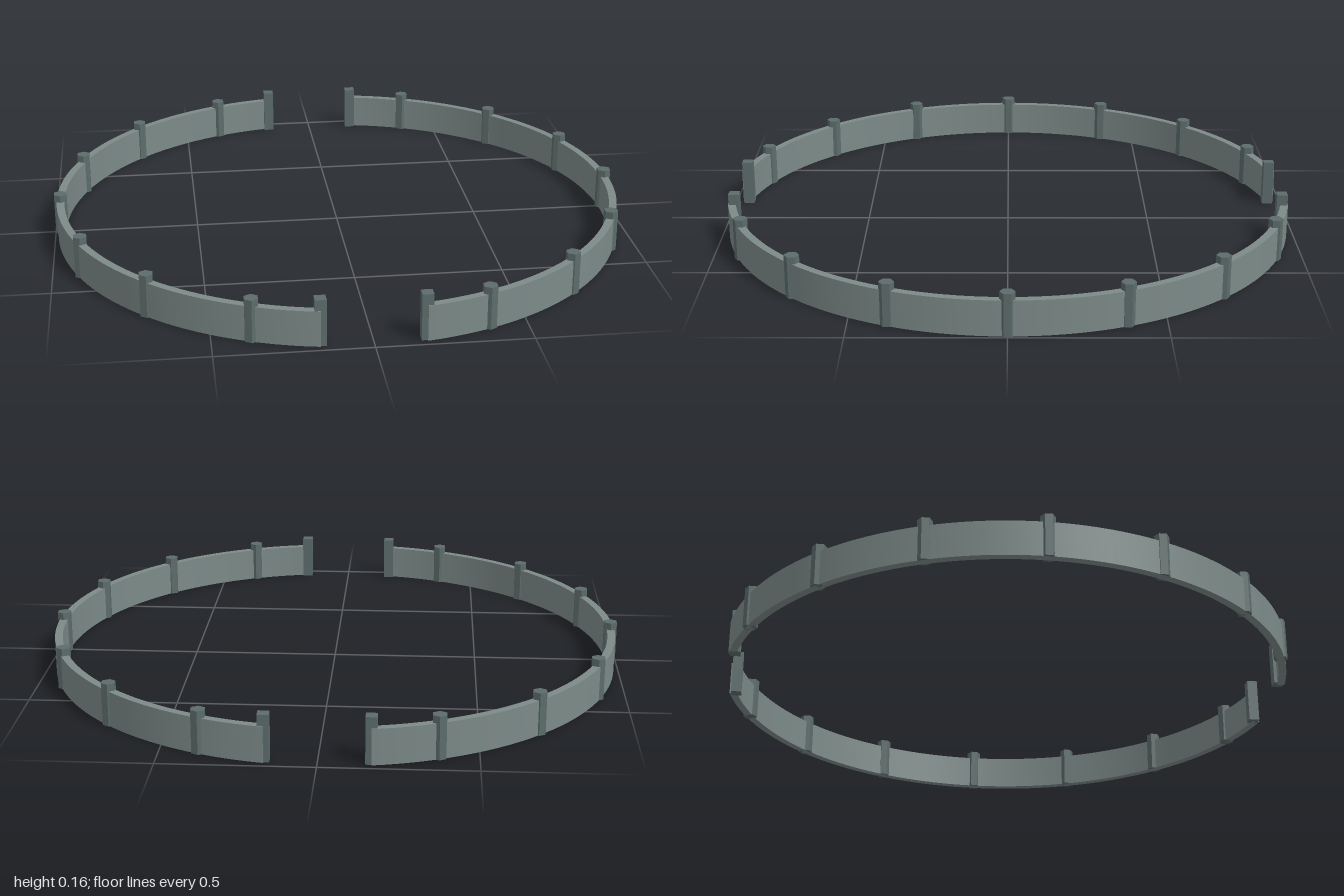
import * as THREE from 'three';
import { toCreasedNormals } from 'three/addons/utils/BufferGeometryUtils.js';

export function createModel() {
  const model = new THREE.Group();
  model.name = 'ringWall';
  const wallMat = new THREE.MeshStandardMaterial({ color: 0x7c8a88 });
  const postMat = new THREE.MeshStandardMaterial({ color: 0x5c6c6b });

  const radius = 0.977, halfThick = 0.0135, wallHeight = 0.12;
  const sweep = THREE.MathUtils.degToRad(80.3);

  // curved wall, one half of the ring
  const arc = new THREE.Shape();
  arc.absarc(0, 0, radius + halfThick, -sweep, sweep, false);
  arc.absarc(0, 0, radius - halfThick, sweep, -sweep, true);
  arc.closePath();
  const wallGeo = toCreasedNormals(
    new THREE.ExtrudeGeometry(arc, { depth: wallHeight, bevelEnabled: false, curveSegments: 48 })
      .rotateX(-Math.PI / 2), 0.5);

  // hexagonal posts and taller square gate posts
  const postHeight = 0.145, gateHeight = 0.157;
  const postGeo = toCreasedNormals(
    new THREE.CylinderGeometry(0.025, 0.025, postHeight, 6).translate(0, postHeight / 2, 0), 0.5);
  const gateGeo = new THREE.BoxGeometry(0.037, gateHeight, 0.037).translate(0, gateHeight / 2, 0);

  const add = (parent, name, geo, mat, x = 0, z = 0) => {
    const mesh = new THREE.Mesh(geo, mat);
    mesh.name = name;
    mesh.position.set(x, 0, z);
    parent.add(mesh);
  };

  for (const side of [1, -1]) {
    const half = new THREE.Group();
    half.name = side > 0 ? 'leftHalf' : 'rightHalf';
    half.rotation.y = side > 0 ? 0 : Math.PI;
    add(half, 'wall', wallGeo, wallMat);
    for (let i = -3; i <= 3; i++) {
      const a = i * Math.PI / 8;
      add(half, 'post', postGeo, postMat, radius * Math.cos(a), radius * Math.sin(a));
    }
    for (const end of [1, -1]) add(half, 'gatePost', gateGeo, postMat, 0.166, end * 0.953);
    model.add(half);
  }
  return model;
}
